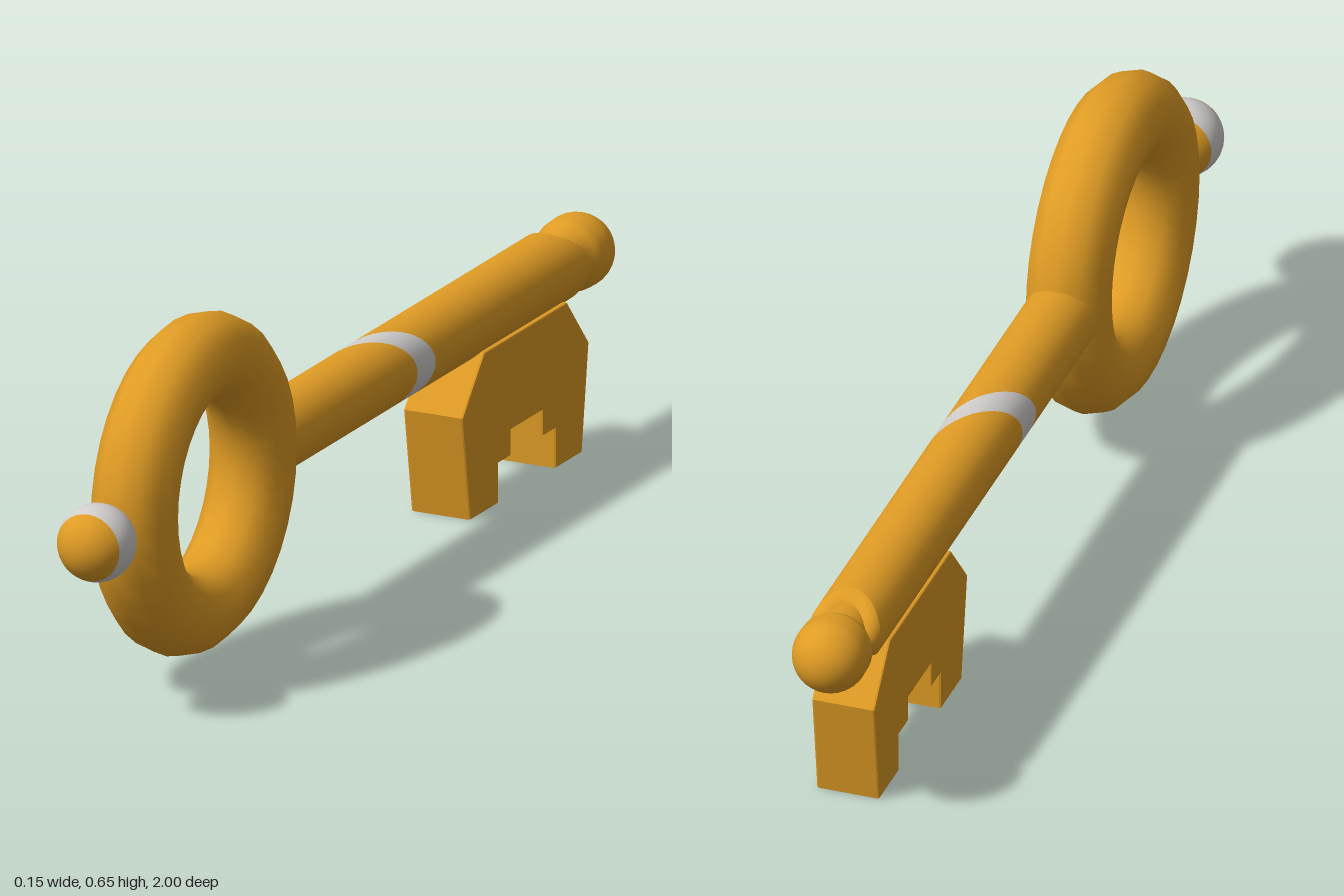
import * as THREE from 'three';

const AXIS_Y = 0.338;   // height of the shaft axis
const SHAFT_R = 0.067;

export function createModel() {
  const gold = new THREE.MeshStandardMaterial({ color: 0xdf9b24 });
  gold.name = 'gold';
  const silver = new THREE.MeshStandardMaterial({ color: 0xd0cdcb });
  silver.name = 'silver';

  const key = new THREE.Group();
  key.name = 'key';

  function add(name, geometry, material, y = AXIS_Y, z = 0) {
    const mesh = new THREE.Mesh(geometry, material);
    mesh.name = name;
    mesh.position.set(0, y, z);
    key.add(mesh);
    return mesh;
  }

  // Turned profile around the z axis; points are [radius, z], z ascending
  function turned(points) {
    const g = new THREE.LatheGeometry(points.map(([r, z]) => new THREE.Vector2(r, z)), 32);
    return g.rotateX(Math.PI / 2);
  }

  // Slice of a sphere between two z offsets
  function ballSlice(radius, z0, z1) {
    const a0 = Math.asin(z0 / radius), a1 = Math.asin(z1 / radius);
    const points = [];
    for (let i = 0; i <= 10; i++) {
      const a = a0 + (a1 - a0) * i / 10;
      points.push([Math.max(0, radius * Math.cos(a)), radius * Math.sin(a)]);
    }
    return turned(points);
  }

  // Shaft section whose ends follow back(x) and front(x)
  function shaftSection(back, front) {
    const g = turned([[SHAFT_R, 0], [SHAFT_R, 1]]);
    const p = g.attributes.position;
    for (let i = 0; i < p.count; i++) {
      const x = p.getX(i);
      p.setZ(i, p.getZ(i) < 0.5 ? back(x) : front(x));
    }
    return g;
  }

  // Ring handle
  const ring = new THREE.TorusGeometry(0.231, 0.077, 12, 36).rotateY(Math.PI / 2);
  add('ringHandle', ring, gold, AXIS_Y, 0.553);

  // Front ball with a silver band
  const R = 0.0705;
  add('frontBallBack', ballSlice(R, -R, -0.033), gold, AXIS_Y, 0.9295);
  add('frontBallBand', ballSlice(R, -0.033, 0.034), silver, AXIS_Y, 0.9295);
  add('frontBallFront', ballSlice(R, 0.034, R), gold, AXIS_Y, 0.9295);

  // Shaft, crossed by a slanted silver stripe
  const slant = (offset) => (x) => -0.147 + offset - 1.08 * x;
  const saddle = (x) => -0.81 - 0.045 * (x / SHAFT_R) ** 2;
  add('shaftFront', shaftSection(slant(0.035), () => 0.3), gold);
  add('shaftStripe', shaftSection(slant(-0.035), slant(0.035)), silver);
  add('shaftBack', shaftSection(saddle, slant(-0.035)), gold);

  // Bevelled saddle-shaped lip closing the shaft's rear end
  const lip = turned([[0.044, -0.026], [0.059, -0.018], [SHAFT_R, 0]]);
  const lp = lip.attributes.position;
  for (let i = 0; i < lp.count; i++) {
    const x = lp.getX(i);
    const r = Math.hypot(x, lp.getY(i));
    lp.setZ(i, lp.getZ(i) + saddle(x / r * SHAFT_R));
  }
  lip.computeVertexNormals();
  add('shaftLip', lip, gold);

  // Rear neck and ball
  const tip = [];
  for (let i = 0; i <= 14; i++) {
    const a = -Math.PI / 2 + (Math.PI / 2) * i / 14;
    tip.push([Math.max(0, 0.0685 * Math.cos(a)), -0.9315 + 0.0685 * Math.sin(a)]);
  }
  tip.push([0.0675, -0.903], [0.062, -0.89], [0.048, -0.868], [0.047, -0.78]);
  add('rearBall', turned(tip), gold);

  // Toothed bit, drawn as [-z, y] and extruded across x
  const bevel = 0.004;
  const outline = [
    [0.463, 0.29], [0.380, 0.195], [0.410, 0.004], [0.511, 0.004], [0.511, 0.078],
    [0.560, 0.078], [0.560, 0.126], [0.692, 0.126], [0.692, 0.078], [0.741, 0.078],
    [0.741, 0.004], [0.836, 0.004], [0.862, 0.195], [0.780, 0.29],
  ];
  const shape = new THREE.Shape(outline.map(([z, y]) => new THREE.Vector2(z, y)));
  const depth = 0.11;
  const bit = new THREE.ExtrudeGeometry(shape, {
    depth, bevelEnabled: true, bevelThickness: bevel, bevelSize: bevel, bevelSegments: 2,
  });
  bit.translate(0, 0, -depth / 2).rotateY(Math.PI / 2);
  add('toothedBit', bit, gold, 0);

  return key;
}
